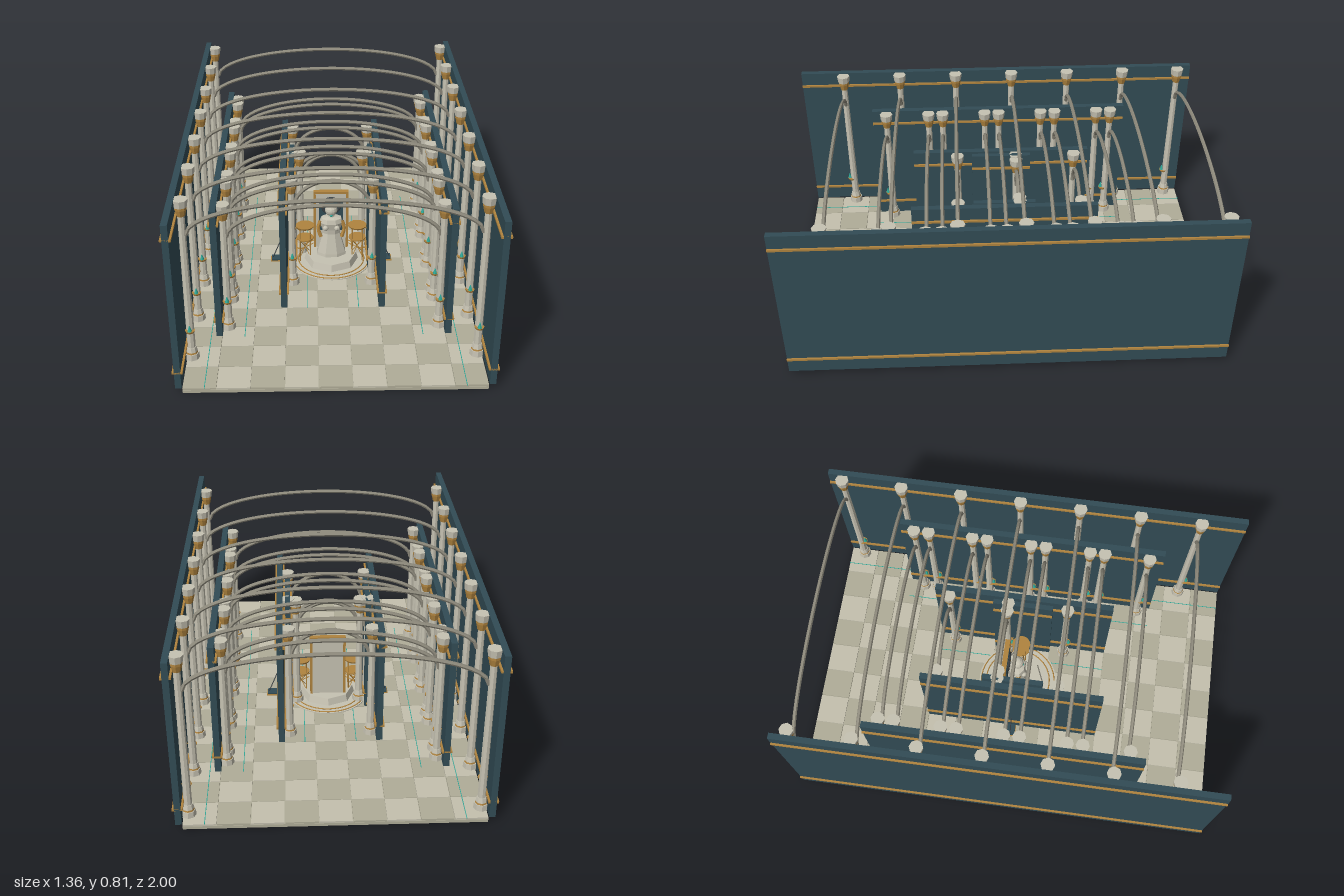
import * as THREE from 'three';

const mat = (color) => new THREE.MeshStandardMaterial({ color, flatShading: true });
const M = {
  stone: mat(0xc6c2b2), tileA: mat(0xc4c0ae), tileB: mat(0xb0ad98), arch: mat(0x8f8b7d),
  wall: mat(0x324c55), gold: mat(0xb0843f), teal: mat(0x2fa898), dark: mat(0x3a4044),
};

export function createModel() {
  const root = new THREE.Group();

  const add = (parent, name, geo, m, x = 0, y = 0, z = 0) => {
    const mesh = new THREE.Mesh(geo, m);
    mesh.name = name;
    mesh.position.set(x, y, z);
    parent.add(mesh);
    return mesh;
  };
  // box given by its centre in x and z and its bottom and top in y
  const box = (parent, name, m, w, y0, y1, d, x = 0, z = 0) =>
    add(parent, name, new THREE.BoxGeometry(w, y1 - y0, d), m, x, (y0 + y1) / 2, z);
  const drum = (parent, name, m, rTop, rBottom, y0, y1, x = 0, z = 0, sides = 8) =>
    add(parent, name, new THREE.CylinderGeometry(rTop, rBottom, y1 - y0, sides), m, x, (y0 + y1) / 2, z);
  const rod = (parent, name, m, a, b, r) =>
    add(parent, name, new THREE.TubeGeometry(
      new THREE.LineCurve3(new THREE.Vector3(...a), new THREE.Vector3(...b)), 1, r, 5), m);
  const group = (name, parent = root) => {
    const g = new THREE.Group();
    g.name = name;
    parent.add(g);
    return g;
  };

  // Checkered floor
  const floor = group('floor');
  const t = 1 / 7;
  box(floor, 'floorBed', M.tileB, 1.28, 0, 0.014, 2);
  for (let i = 0; i < 9; i++) {
    for (let j = 0; j < 14; j++) {
      box(floor, 'tile', (i + j) % 2 ? M.tileB : M.tileA, t - 0.003, 0.002, 0.022, t - 0.003,
        (i - 4) * t, (j - 6.5) * t);
    }
  }

  // Column with base, gold neck, capital and a small lamp
  function column(parent, x, z, top) {
    const c = group('column', parent);
    c.position.set(x, 0, z);
    drum(c, 'columnFoot', M.stone, 0.031, 0.033, 0.02, 0.05);
    drum(c, 'columnFootRing', M.gold, 0.025, 0.027, 0.05, 0.058);
    drum(c, 'columnBase', M.stone, 0.021, 0.026, 0.058, 0.08);
    drum(c, 'columnShaft', M.stone, 0.015, 0.018, 0.08, top - 0.07);
    drum(c, 'columnNeck', M.gold, 0.025, 0.018, top - 0.075, top - 0.045);
    drum(c, 'columnCollar', M.gold, 0.026, 0.026, top - 0.045, top - 0.03);
    drum(c, 'columnCapital', M.stone, 0.032, 0.028, top - 0.033, top);
    drum(c, 'lampDish', M.gold, 0.022, 0.018, 0.164, 0.174, 0, 0.012);
    drum(c, 'lampCrystal', M.teal, 0.002, 0.01, 0.174, 0.2, 0, 0.022, 6);
  }

  // Elliptical rib across the hall
  function arch(parent, a, spring, peak, z) {
    const pts = [];
    for (let i = 0; i <= 24; i++) {
      const u = Math.PI * i / 24;
      pts.push(new THREE.Vector3(a * Math.cos(u), spring + (peak - spring) * Math.sin(u), z));
    }
    add(parent, 'archRib', new THREE.TubeGeometry(new THREE.CatmullRomCurve3(pts), 36, 0.009, 6), M.arch);
  }

  // Nested halls: pair of walls, gold trims, columns and ribs
  const halls = [
    { wx: 0.657, ww: 0.027, top: 0.81, hz: 1, cx: 0.62, a: 0.607, spring: 0.64, peak: 0.793, strip: 0.55, zs: [-6.5, -4.5, -2.5, -0.5, 1.5, 3.5, 5.5] },
    { wx: 0.513, ww: 0.028, top: 0.665, hz: 0.643, cx: 0.476, a: 0.463, spring: 0.5, peak: 0.65, strip: 0.4, zs: [-4, -3.5, -2, -1.5, 0, 0.5, 2, 2.5, 4] },
    { wx: 0.228, ww: 0.028, top: 0.597, hz: 0.429, cx: 0.19, a: 0.177, spring: 0.44, peak: 0.58, strip: 0.12, zs: [-2.5, -0.5, 1.5] },
    { wx: 0.19, ww: 0.024, top: 0.594, hz: 0.143, cx: 0.153, a: 0.145, spring: 0.44, peak: 0.572, zs: [-0.5] },
  ];
  for (const h of halls) {
    const hall = group('hall');
    for (const s of [-1, 1]) {
      box(hall, 'wall', M.wall, h.ww, 0.025, h.top, h.hz * 2, s * h.wx);
      for (const y of [0.102, h.top - 0.07]) {
        box(hall, 'wallTrim', M.gold, h.ww + 0.018, y - 0.005, y + 0.005, h.hz * 2, s * h.wx);
      }
      if (h.strip) box(hall, 'lightStrip', M.teal, 0.003, 0.02, 0.0235, h.hz * 2, s * h.strip);
      for (const z of h.zs) column(hall, s * h.cx, z * t, h.top - 0.003);
    }
    for (const z of h.zs) arch(hall, h.a, h.spring, h.peak, z * t);
  }

  // Round dais
  const dais = group('dais');
  drum(dais, 'daisPavement', M.stone, 0.2, 0.2, 0.015, 0.026, 0, 0, 32);
  for (const r of [0.19, 0.165]) {
    const ring = add(dais, 'daisRing', new THREE.TorusGeometry(r, 0.003, 6, 40), M.gold, 0, 0.027, 0);
    ring.rotation.x = Math.PI / 2;
  }
  drum(dais, 'daisStep', M.stone, 0.125, 0.135, 0.026, 0.06);

  // Framed panel behind the statue
  const panel = group('backPanel');
  box(panel, 'panelBoard', M.stone, 0.156, 0.055, 0.37, 0.016, 0, -0.06);
  for (const s of [-1, 1]) box(panel, 'panelPost', M.gold, 0.012, 0.055, 0.378, 0.024, s * 0.081, -0.06);
  box(panel, 'panelLintel', M.gold, 0.174, 0.366, 0.378, 0.024, 0, -0.06);
  box(panel, 'panelNiche', M.wall, 0.12, 0.16, 0.34, 0.006, 0, -0.05);
  const halo = add(panel, 'halo', new THREE.TorusGeometry(0.043, 0.007, 6, 24), M.dark, 0, 0.303, -0.042);
  halo.scale.z = 0.6;

  // Robed figure
  const statue = group('statue');
  const profile = [[0, 0.055], [0.078, 0.055], [0.075, 0.075], [0.045, 0.18], [0.048, 0.205],
    [0.06, 0.24], [0.052, 0.262], [0.018, 0.268], [0.014, 0.285], [0, 0.285]];
  const robe = add(statue, 'robe', new THREE.LatheGeometry(
    profile.map((p) => new THREE.Vector2(...p)), 8, Math.PI / 8), M.stone);
  robe.scale.z = 0.7;
  add(statue, 'head', new THREE.SphereGeometry(0.031, 12, 8), M.stone, 0, 0.305, 0);
  add(statue, 'chestGem', new THREE.OctahedronGeometry(0.008), M.teal, 0, 0.285, 0.026);
  for (const s of [-1, 1]) {
    add(statue, 'hand', new THREE.SphereGeometry(0.014, 8, 6), M.stone, s * 0.028, 0.22, 0.036);
    const sleeve = [[0.052, 0.252, 0.01], [0.064, 0.21, 0.015], [0.052, 0.165, 0.022]]
      .map(([x, y, z]) => new THREE.Vector3(s * x, y, z));
    add(statue, 'sleeve', new THREE.TubeGeometry(new THREE.CatmullRomCurve3(sleeve), 8, 0.01, 6), M.gold);
  }

  // Offering stands and low side plinths
  for (const s of [-1, 1]) {
    const stand = group('offeringStand');
    stand.position.x = s * 0.13;
    drum(stand, 'standTop', M.gold, 0.046, 0.042, 0.21, 0.219, 0, 0, 16);
    drum(stand, 'standShelf', M.gold, 0.042, 0.042, 0.145, 0.151, 0, 0, 16);
    for (let i = 0; i < 4; i++) {
      const u = Math.PI * (i + 0.5) / 2, c = Math.cos(u), d = Math.sin(u);
      rod(stand, 'standLeg', M.gold, [0.036 * c, 0.21, 0.036 * d], [0.036 * c, 0.026, 0.036 * d], 0.003);
      rod(stand, 'standBrace', M.gold, [0.036 * c, 0.145, 0.036 * d], [-0.036 * c, 0.05, -0.036 * d], 0.002);
    }
    const plinth = group('sidePlinth');
    box(plinth, 'plinthBase', M.gold, 0.1, 0.02, 0.028, 0.05, s * 0.253);
    box(plinth, 'plinthTop', M.wall, 0.092, 0.028, 0.035, 0.044, s * 0.253);
    rod(plinth, 'plinthStay', M.dark, [s * 0.292, 0.035, 0], [s * 0.235, 0.175, 0], 0.0025);
  }

  return root;
}
